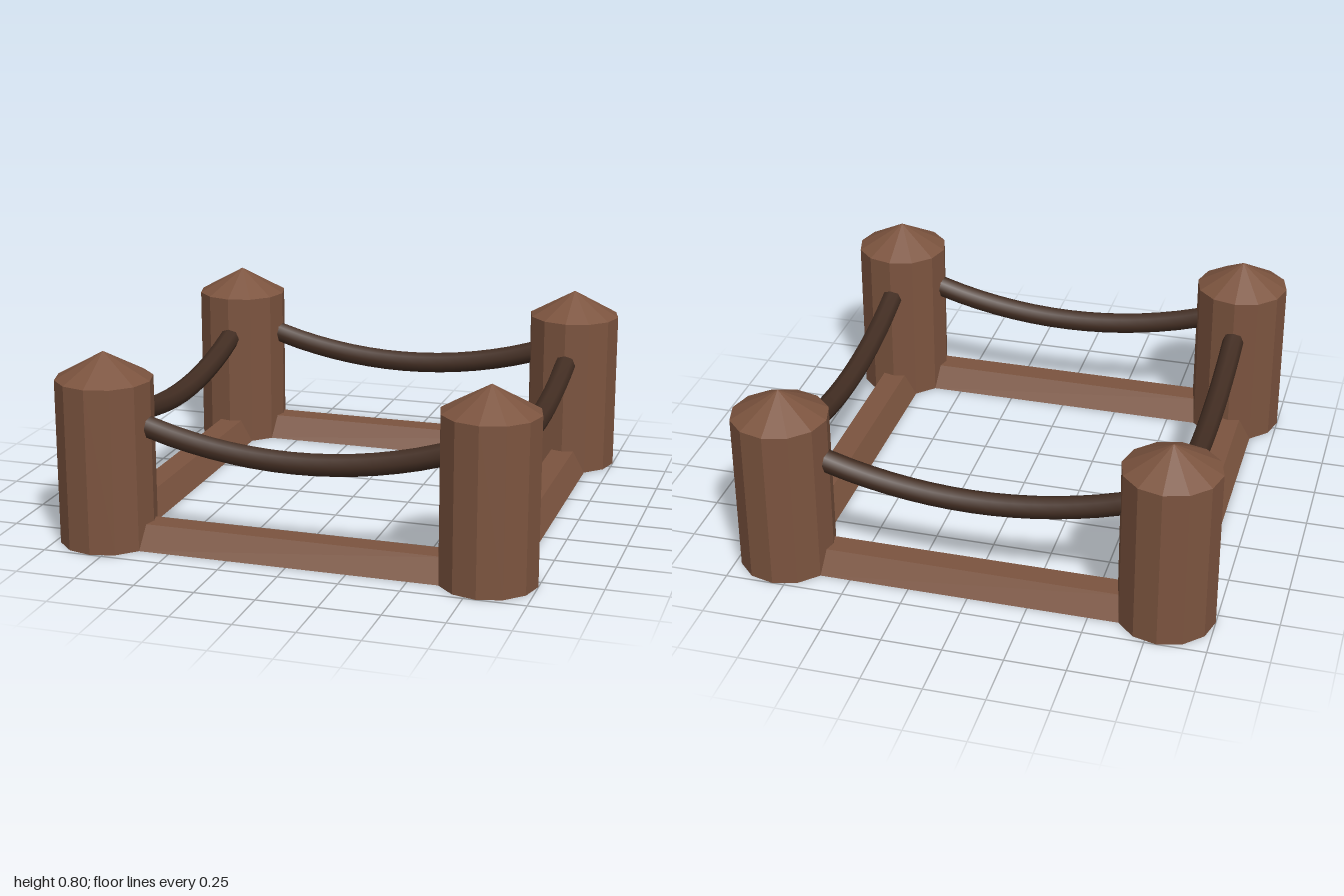
import * as THREE from 'three';

export function createModel() {
  const model = new THREE.Group();
  const wood = new THREE.MeshStandardMaterial({ color: 0x7c543f, flatShading: true });
  wood.name = 'brown wood';
  const dark = new THREE.MeshStandardMaterial({ color: 0x432e23 });
  dark.name = 'dark rope';

  function add(parent, name, geometry, material) {
    const mesh = new THREE.Mesh(geometry, material);
    mesh.name = name;
    parent.add(mesh);
    return mesh;
  }

  // Twelve-sided corner post with a pointed cap
  const postProfile = [[0, 0], [0.2, 0], [0.2, 0.69], [0, 0.8]]
    .map(([r, y]) => new THREE.Vector2(r, y));
  const postGeometry = new THREE.LatheGeometry(postProfile, 12);
  for (const x of [-0.8, 0.8]) {
    for (const z of [-0.8, 0.8]) {
      add(model, 'cornerPost', postGeometry, wood).position.set(x, 0, z);
    }
  }

  // Ground rail: half log with a flat underside
  const section = new THREE.Shape([[-0.1, 0], [0.1, 0], [0.05, 0.1], [-0.05, 0.1]]
    .map(([x, y]) => new THREE.Vector2(x, y)));
  const railGeometry = new THREE.ExtrudeGeometry(section, { depth: 1.3, bevelEnabled: false });
  railGeometry.translate(0, 0, -0.65);
  railGeometry.rotateY(Math.PI / 2);

  // Sagging rope, its ends buried in the posts
  const points = [];
  for (let i = -4; i <= 4; i++) {
    const x = i * 0.17;
    points.push(new THREE.Vector3(x, 0.405 + 0.25 * x * x, 0));
  }
  const ropeGeometry = new THREE.TubeGeometry(new THREE.CatmullRomCurve3(points), 16, 0.047, 8);

  // One rail and one rope on each of the four sides
  for (let i = 0; i < 4; i++) {
    const side = new THREE.Group();
    side.name = 'fenceSide';
    side.rotation.y = i * Math.PI / 2;
    add(side, 'groundRail', railGeometry, wood).position.z = 0.8;
    add(side, 'rope', ropeGeometry, dark).position.z = 0.8;
    model.add(side);
  }
  return model;
}
